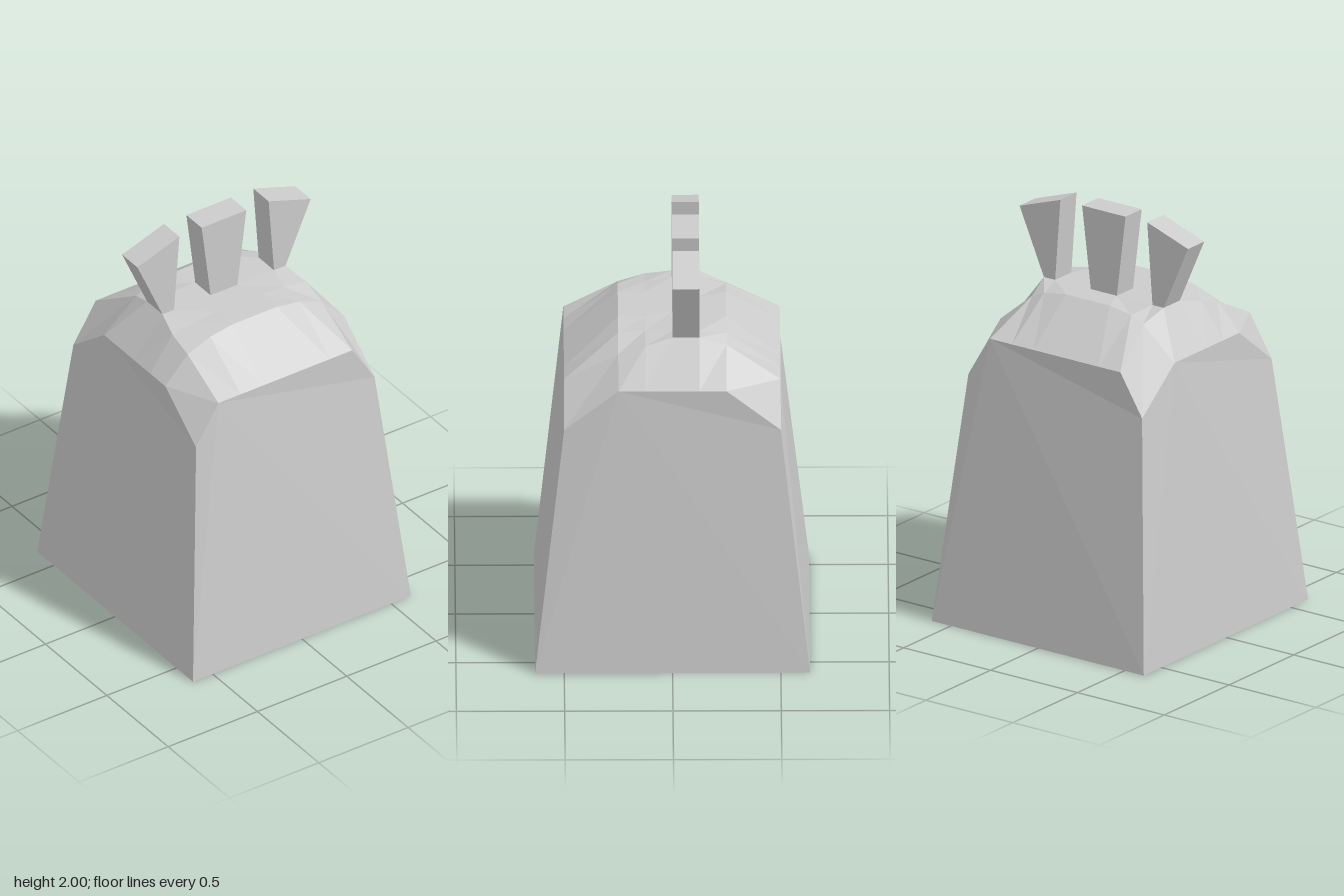
import * as THREE from 'three';

const material = new THREE.MeshStandardMaterial({ color: 0xcccccc, flatShading: true });

// Flat-shaded mesh from polygons, each a counter-clockwise fan of [x, y, z] corners
function polygonMesh(name, polygons) {
  const positions = [];
  for (const p of polygons) {
    for (let i = 1; i < p.length - 1; i++) positions.push(...p[0], ...p[i], ...p[i + 1]);
  }
  const geometry = new THREE.BufferGeometry();
  geometry.setAttribute('position', new THREE.Float32BufferAttribute(positions, 3));
  geometry.computeVertexNormals();
  const mesh = new THREE.Mesh(geometry, material);
  mesh.name = name;
  return mesh;
}

// Tapered walls with clipped upper corners, plus the underside
function createBody() {
  const bx = 0.61, bz = 0.635, w = 0.5;
  const front = [[-0.375, 1.4, w], [-w, 1.2, w], [-bx, 0, bz], [bx, 0, bz], [w, 1.2, w], [0.375, 1.4, w]];
  const right = [[w, 1.4, 0.25], [w, 1.2, w], [bx, 0, bz], [bx, 0, -bz], [w, 1.2, -w], [w, 1.4, -0.25]];
  const halfTurn = (wall) => wall.map(([x, y, z]) => [-x, y, -z]);
  const underside = [[-bx, 0, -bz], [bx, 0, -bz], [bx, 0, bz], [-bx, 0, bz]];
  return polygonMesh('body', [front, right, halfTurn(front), halfTurn(right), underside]);
}

// Faceted domed head: rows from back to front, half of each row as [x, y]
function createDome() {
  const rows = [
    [-0.5, [[0.125, 1.4], [0.25, 1.4], [0.375, 1.4], [0.5, 1.2]]],
    [-0.25, [[0.125, 1.6], [0.25, 1.58], [0.32, 1.55], [0.5, 1.4]]],
    [-0.125, [[0.075, 1.6], [0.28, 1.6], [0.345, 1.6], [0.5, 1.4]]],
    [0, [[0.075, 1.6], [0.28, 1.6], [0.345, 1.6], [0.5, 1.4]]],
    [0.125, [[0.125, 1.6], [0.25, 1.59], [0.375, 1.57], [0.5, 1.4]]],
    [0.25, [[0.125, 1.6], [0.25, 1.58], [0.375, 1.53], [0.5, 1.4]]],
    [0.5, [[0.125, 1.4], [0.25, 1.4], [0.375, 1.4], [0.5, 1.2]]],
  ].map(([z, half]) => [
    ...half.map(([x, y]) => [-x, y, z]).reverse(),
    ...half.map(([x, y]) => [x, y, z]),
  ]);
  const quads = [];
  for (let r = 0; r < rows.length - 1; r++) {
    for (let c = 0; c < rows[r].length - 1; c++) {
      quads.push([rows[r][c], rows[r + 1][c], rows[r + 1][c + 1], rows[r][c + 1]]);
    }
  }
  return polygonMesh('dome', quads);
}

// Flared prong: a flat outline extruded through its thickness
function createProng(name, outline) {
  const shape = new THREE.Shape(outline.map(([x, y]) => new THREE.Vector2(x, y)));
  const geometry = new THREE.ExtrudeGeometry(shape, { depth: 0.125, bevelEnabled: false });
  geometry.translate(0, 0, -0.125);
  const mesh = new THREE.Mesh(geometry, material);
  mesh.name = name;
  return mesh;
}

export function createModel() {
  const group = new THREE.Group();
  group.name = 'prongedBlock';
  group.add(createBody(), createDome());

  // Crest of three prongs, the outer two leaning outwards
  const side = [[0.28, 1.6], [0.345, 1.6], [0.485, 1.92], [0.25, 2]];
  group.add(
    createProng('middleProng', [[-0.075, 1.6], [0.075, 1.6], [0.125, 2], [-0.125, 2]]),
    createProng('leftProng', side),
    createProng('rightProng', side.map(([x, y]) => [-x, y]).reverse()),
  );
  return group;
}
